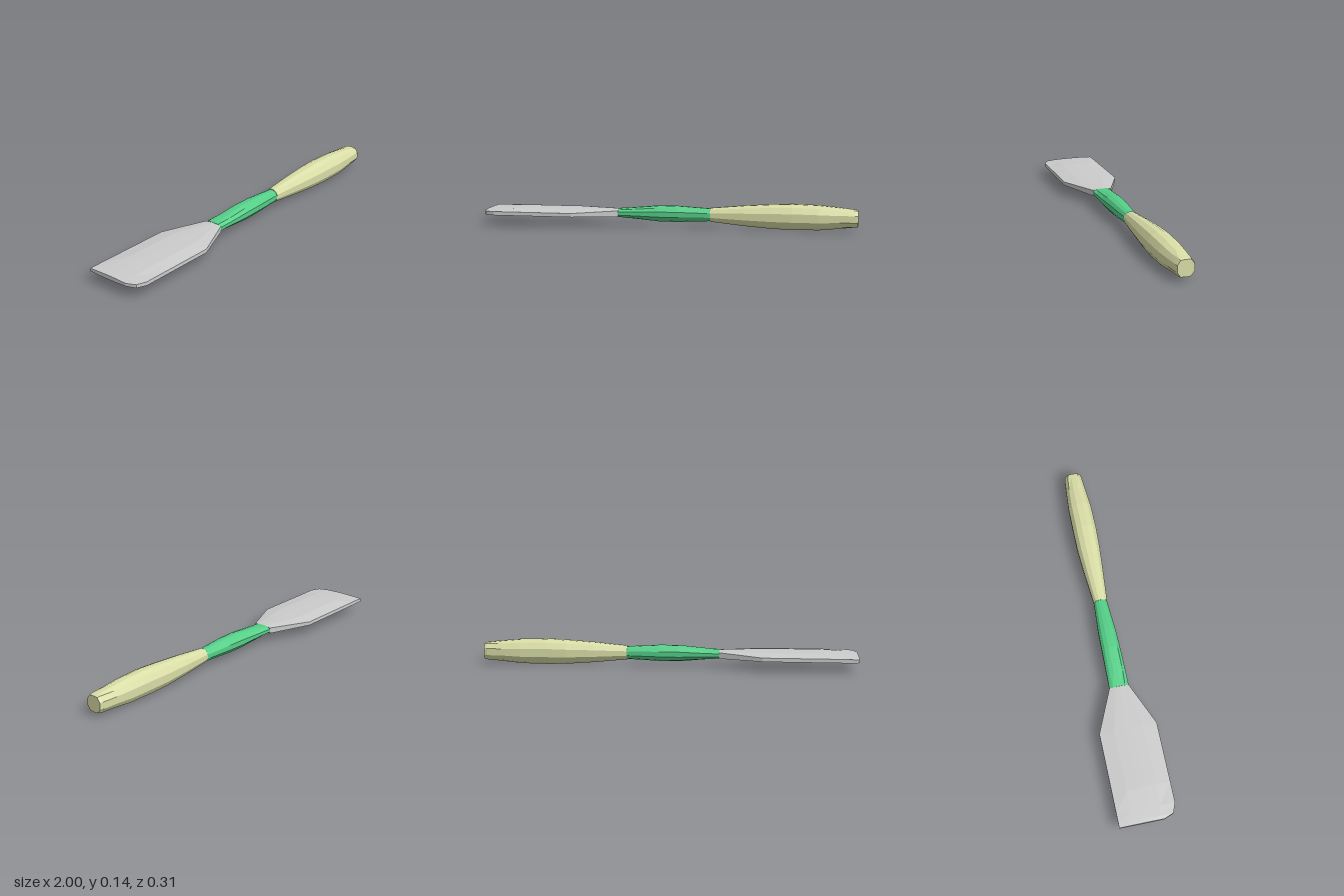
import * as THREE from 'three';

// Unit half-profiles [z, y], from the top down to the side; mirrored into a full ring
const ROUND = [[0.25, 1], [0.7, 0.8], [1, 0.33]];
const CHAMFERED = [[0.22, 1], [0.62, 0.96], [1, 0.4]];

function ring(profile) {
  const down = profile.map(([z, y]) => [z, -y]).reverse();
  const right = [...profile, ...down];
  return [...right, ...right.map(([z, y]) => [-z, y]).reverse()];
}

// One cross-section at x, fitted between y0..y1 and z0..z1
function section(x, y0, y1, z0, z1, profile = ROUND) {
  return ring(profile).map(([z, y]) => [
    x, (y0 + y1) / 2 + y * (y1 - y0) / 2, (z0 + z1) / 2 + z * (z1 - z0) / 2,
  ]);
}

// Blade section: full thickness up to the shoulder, then tapering to a thin rim
function bladeSection(x, half, rim, z0, z1) {
  return section(x, 0.067 - half, 0.067 + half, z0, z1,
    [[0.12, 1], [0.5, 0.94], [1, rim / half]]);
}

// Skin a row of sections and close both ends
function loft(name, sections, color) {
  const n = sections[0].length;
  const index = [];
  for (let s = 0; s < sections.length - 1; s++) {
    for (let i = 0; i < n; i++) {
      const j = (i + 1) % n;
      const a = s * n + i, b = s * n + j;
      index.push(a, b, b + n, a, b + n, a + n);
    }
  }
  const last = (sections.length - 1) * n;
  for (let i = 1; i < n - 1; i++) {
    index.push(0, i + 1, i, last, last + i, last + i + 1);
  }
  const geometry = new THREE.BufferGeometry();
  geometry.setAttribute('position', new THREE.Float32BufferAttribute(sections.flat(2), 3));
  geometry.setIndex(index);
  geometry.computeVertexNormals();
  const mesh = new THREE.Mesh(geometry, new THREE.MeshStandardMaterial({ color, flatShading: true }));
  mesh.name = name;
  return mesh;
}

export function createModel() {
  const group = new THREE.Group();
  group.name = 'spatula';

  // Flat blade with one clipped front corner
  group.add(loft('blade', [
    bladeSection(-1, 0.011, 0.008, -0.155, 0.08),
    bladeSection(-0.98, 0.013, 0.009, -0.155, 0.13),
    bladeSection(-0.93, 0.016, 0.01, -0.155, 0.15),
    bladeSection(-0.82, 0.022, 0.01, -0.155, 0.15),
    bladeSection(-0.5, 0.022, 0.01, -0.155, 0.15),
    bladeSection(-0.27, 0.021, 0.016, -0.054, 0.05),
  ], 0xcccccc));

  // Swelling neck between blade and handle
  group.add(loft('neck', [
    section(-0.27, 0.047, 0.089, -0.054, 0.05, CHAMFERED),
    section(-0.18, 0.038, 0.098, -0.052, 0.05),
    section(-0.05, 0.026, 0.11, -0.05, 0.049),
    section(0.05, 0.026, 0.11, -0.048, 0.046),
    section(0.225, 0.034, 0.1, -0.037, 0.034),
  ], 0x55cf88));

  // Bulging handle
  group.add(loft('handle', [
    section(0.225, 0.031, 0.104, -0.037, 0.036),
    section(0.4, 0.014, 0.12, -0.053, 0.05),
    section(0.55, 0.003, 0.13, -0.063, 0.06),
    section(0.66, 0, 0.135, -0.064, 0.064),
    section(0.8, 0.002, 0.131, -0.063, 0.062),
    section(0.9, 0.012, 0.122, -0.056, 0.053),
    section(0.985, 0.021, 0.112, -0.049, 0.045, CHAMFERED),
    section(1, 0.024, 0.109, -0.044, 0.042, CHAMFERED),
  ], 0xd9dda6));

  return group;
}
